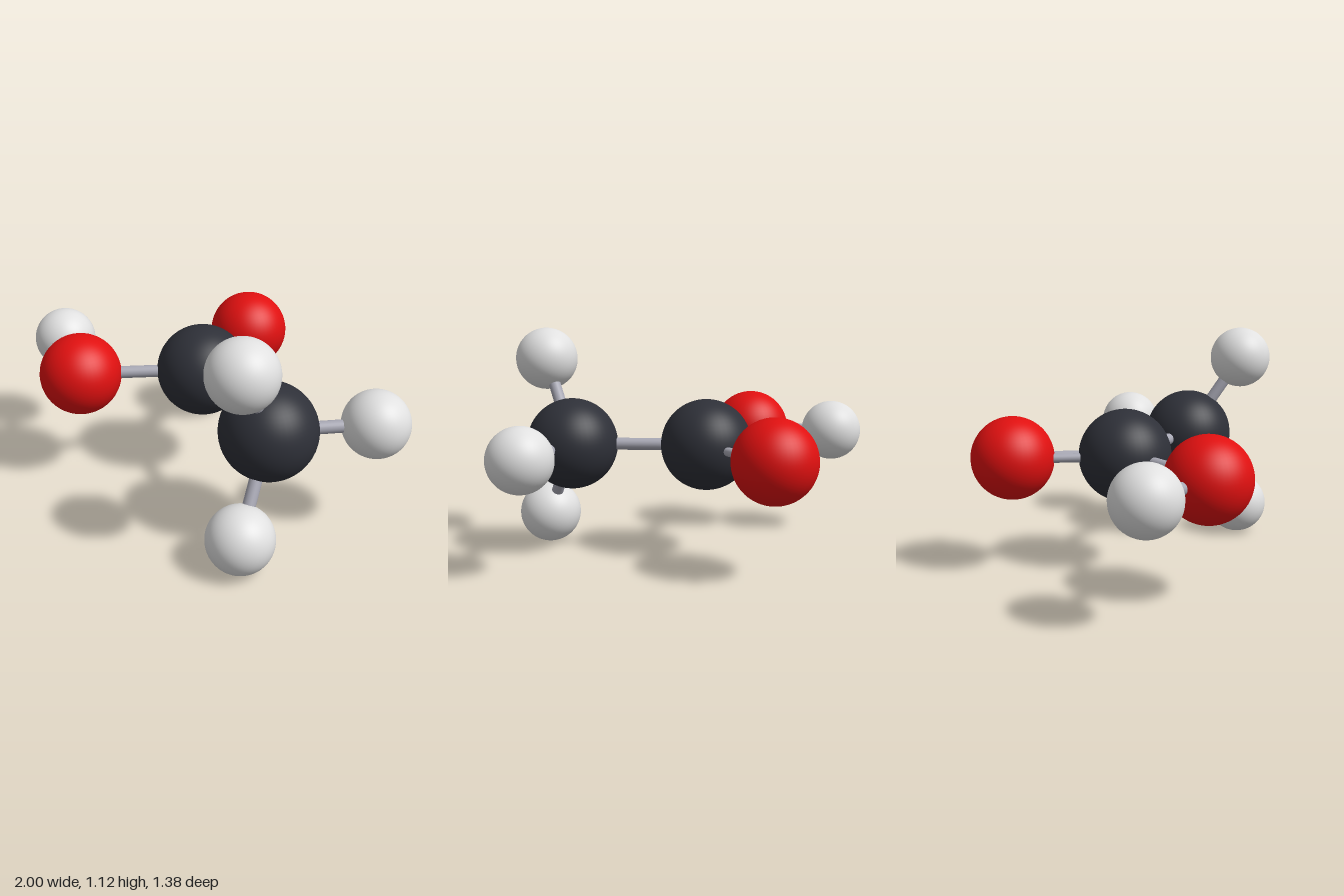
import * as THREE from 'three';

const material = (name, color) => {
  const m = new THREE.MeshStandardMaterial({ color });
  m.name = name;
  return m;
};

export function createModel() {
  const model = new THREE.Group();
  model.name = 'molecule';
  const charcoal = material('charcoal', 0x2e3038);
  const red = material('red', 0xe01010);
  const white = material('white', 0xe0e0e0);
  const grey = material('grey', 0xa8a8b4);
  const MID = 0.561; // height of the molecular plane

  // Atoms
  const kinds = {
    carbon: [new THREE.SphereGeometry(0.225, 48, 32), charcoal],
    oxygen: [new THREE.SphereGeometry(0.2, 48, 32), red],
    hydrogen: [new THREE.SphereGeometry(0.157, 48, 32), white],
  };
  const atom = (kind, name, x, y, z) => {
    const mesh = new THREE.Mesh(...kinds[kind]);
    mesh.name = name;
    mesh.position.set(x, y, z);
    model.add(mesh);
    return mesh.position;
  };
  const centreCarbon = atom('carbon', 'centreCarbon', -0.08, MID, 0.01);
  const endCarbon = atom('carbon', 'endCarbon', 0.564, MID, 0.183);
  const backOxygen = atom('oxygen', 'backOxygen', -0.28, MID, -0.492);
  const frontOxygen = atom('oxygen', 'frontOxygen', -0.442, MID, 0.49);
  const sideHydrogen = atom('hydrogen', 'sideHydrogen', -0.843, MID, 0.313);
  const backHydrogen = atom('hydrogen', 'backHydrogen', 0.838, MID, -0.22);
  const topHydrogen = atom('hydrogen', 'topHydrogen', 0.665, 0.965, 0.441);
  const bottomHydrogen = atom('hydrogen', 'bottomHydrogen', 0.665, 0.157, 0.441);

  // Bonds: a rod from one atom centre to the other, optionally shifted sideways in the plane
  const up = new THREE.Vector3(0, 1, 0);
  const bond = (name, a, b, radius = 0.03, shift = 0) => {
    const dir = b.clone().sub(a);
    const rod = new THREE.Mesh(new THREE.CylinderGeometry(radius, radius, dir.length(), 24), grey);
    dir.normalize();
    rod.name = name;
    rod.quaternion.setFromUnitVectors(up, dir);
    rod.position.copy(a).add(b).multiplyScalar(0.5);
    rod.position.addScaledVector(dir.clone().cross(up).normalize(), shift);
    model.add(rod);
  };
  bond('carbonBond', centreCarbon, endCarbon);
  bond('frontOxygenBond', centreCarbon, frontOxygen);
  bond('sideHydrogenBond', frontOxygen, sideHydrogen);
  bond('backHydrogenBond', endCarbon, backHydrogen);
  bond('topHydrogenBond', endCarbon, topHydrogen);
  bond('bottomHydrogenBond', endCarbon, bottomHydrogen);
  for (const side of [-1, 1]) {
    bond(side < 0 ? 'doubleBondLeft' : 'doubleBondRight', centreCarbon, backOxygen, 0.022, side * 0.03);
  }
  return model;
}
